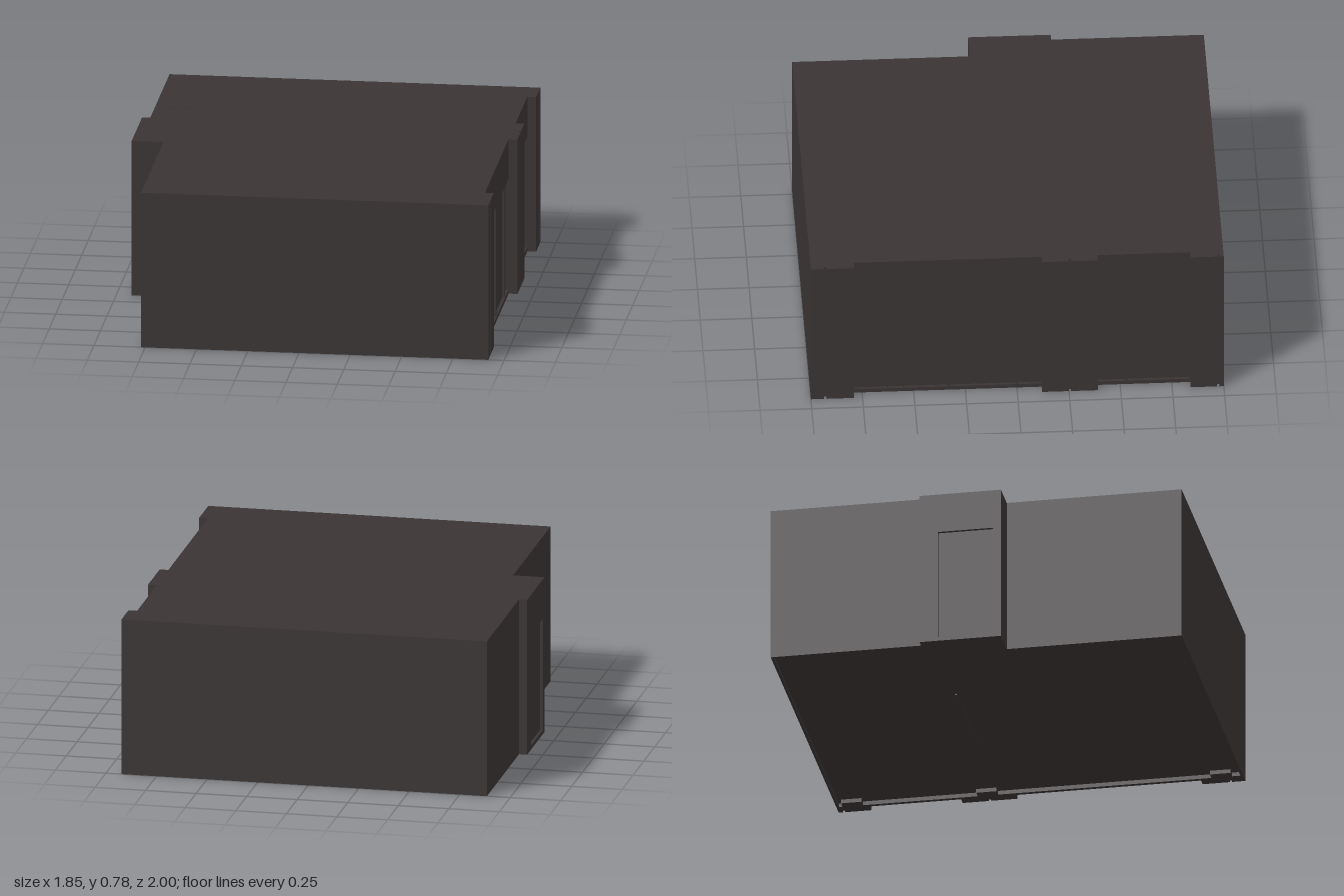
import * as THREE from 'three';

const H = 0.78;
const FLOOR = 0.02;

export function createModel() {
  const model = new THREE.Group();
  const material = new THREE.MeshStandardMaterial({ color: 0x3a3534, side: THREE.DoubleSide, flatShading: true });

  const add = (name, geometry) => {
    const mesh = new THREE.Mesh(geometry, material);
    mesh.name = name;
    model.add(mesh);
    return mesh;
  };
  // Box given by its limits on each axis
  const box = (name, x0, x1, y0, y1, z0, z1) =>
    add(name, new THREE.BoxGeometry(x1 - x0, y1 - y0, z1 - z0)
      .translate((x0 + x1) / 2, (y0 + y1) / 2, (z0 + z1) / 2));
  // Plan outline of [x, z] points raised from y0 to y1
  const toPoints = (plan) => plan.map(([x, z]) => new THREE.Vector2(x, -z));
  const raise = (name, plan, y0, y1, hole) => {
    const shape = new THREE.Shape(toPoints(plan));
    if (hole) shape.holes.push(new THREE.Path(toPoints(hole)));
    const geometry = new THREE.ExtrudeGeometry(shape, { depth: y1 - y0, bevelEnabled: false });
    add(name, geometry.rotateX(-Math.PI / 2).translate(0, y0, 0));
  };
  // Room outline; inset shrinks it evenly
  const outline = (xMax, i = 0) => [
    [-0.77 + i, 1 - i], [xMax - i, 1 - i], [xMax - i, -1 + i], [-0.885 + i, -1 + i],
    [-0.885 + i, -0.26 + i], [-0.91 + i, -0.26 + i], [-0.91 + i, 0.14 - i], [-0.77 + i, 0.14 - i],
  ];

  // Closed room with a shallow rim below the floor
  raise('roomBody', outline(0.865), FLOOR, H);
  raise('wallRim', outline(0.88), 0, FLOOR, outline(0.88, 0.012));

  // Window wall: glazing set back between sill, lintel and mullions
  const bays = [
    { z0: -0.12, z1: 0.79, mullions: [0.33, 0] },
    { z0: -0.84, z1: -0.39, mullions: [-0.53] },
  ];
  for (const { z0, z1, mullions } of bays) {
    box('windowLintel', 0.86, 0.88, 0.58, H, z0, z1);
    box('windowSill', 0.86, 0.88, 0, FLOOR, z0, z1);
    for (const z of mullions) box('mullion', 0.86, 0.876, FLOOR, 0.58, z - 0.008, z + 0.008);
  }

  // Pilasters, each split by a narrow vertical groove
  const pilasters = [
    { z0: -1, z1: -0.84, groove: -0.973 },
    { z0: -0.39, z1: -0.12, groove: -0.255 },
    { z0: 0.79, z1: 1, groove: 0.93 },
  ];
  for (const { z0, z1, groove } of pilasters) {
    box('pilasterCore', 0.86, 0.905, 0, H, z0, z1);
    box('pilasterFace', 0.905, 0.923, 0, H, z0, groove - 0.006);
    box('pilasterFace', 0.905, 0.923, 0, H, groove + 0.006, z1);
    // Column foot standing inside the wall line
    const mid = (z0 + z1) / 2;
    box('columnFoot', 0.82, 0.87, 0, FLOOR + 0.01, mid - 0.05, mid + 0.05);
  }

  // Doorway in the projecting bay on the opposite side
  box('doorJamb', -0.925, -0.9, 0, H, -0.26, -0.17);
  box('doorJamb', -0.925, -0.9, 0, H, 0.1, 0.14);
  box('doorLintel', -0.925, -0.9, 0.58, H, -0.17, 0.1);
  box('doorSill', -0.925, -0.9, 0, FLOOR, -0.17, 0.1);

  // Partition edges showing at the roof and under the floor
  box('roofSeam', -0.83, -0.65, H - 0.01, H + 0.001, -0.453, -0.447);
  box('floorStrip', -0.27, 0.32, FLOOR - 0.006, FLOOR + 0.01, -0.207, -0.197);

  return model;
}
